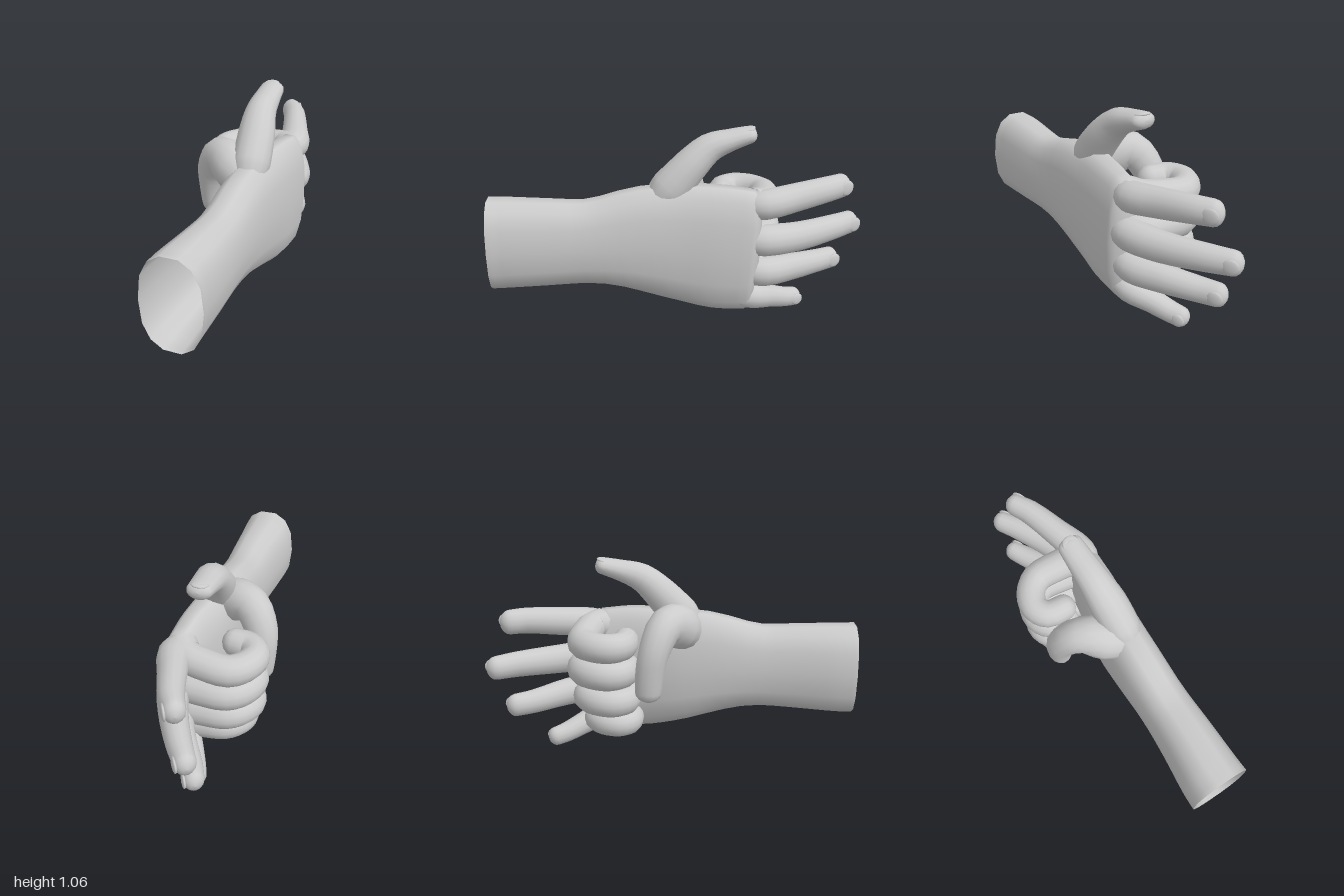
import * as THREE from 'three';

const skin = new THREE.MeshStandardMaterial({ color: 0xcccccc, side: THREE.DoubleSide });
const SIDES = 14;

// Tapered limb through stations [x, y, z, radius along ref, radius across], closed by a rounded tip
function limb(name, stations, ref, cap = 0.9, power = 2) {
  const path = new THREE.CatmullRomCurve3(stations.map(s => new THREE.Vector3(s[0], s[1], s[2])));
  const size = new THREE.CatmullRomCurve3(stations.map(s => new THREE.Vector3(s[3], s[4], 0)));
  const pos = [], index = [];
  const steps = (stations.length - 1) * 3, capSteps = 4;
  const round = v => Math.sign(v) * Math.abs(v) ** (2 / power);
  for (let i = 0; i <= steps + capSteps; i++) {
    const t = Math.min(i / steps, 1);
    const a = Math.max(0, i - steps) / capSteps * Math.PI / 2;
    const c = path.getPoint(t), r = size.getPoint(t), T = path.getTangent(t);
    const S = new THREE.Vector3().crossVectors(T, ref).normalize();
    const U = new THREE.Vector3().crossVectors(S, T);
    c.addScaledVector(T, Math.sin(a) * cap * Math.min(r.x, r.y));
    const k = Math.cos(a);
    for (let j = 0; j < SIDES; j++) {
      const q = j / SIDES * Math.PI * 2;
      const p = c.clone()
        .addScaledVector(S, round(Math.cos(q)) * r.y * k)
        .addScaledVector(U, round(Math.sin(q)) * r.x * k);
      pos.push(p.x, p.y, p.z);
      if (i < steps + capSteps) {
        const n = (j + 1) % SIDES, o = i * SIDES, u = o + SIDES;
        index.push(o + j, u + j, o + n, o + n, u + j, u + n);
      }
    }
  }
  const g = new THREE.BufferGeometry();
  g.setAttribute('position', new THREE.Float32BufferAttribute(pos, 3));
  g.setIndex(index);
  g.computeVertexNormals();
  const m = new THREE.Mesh(g, skin);
  m.name = name;
  return m;
}

// Flattened nail resting on a fingertip, facing along normal
function nail(name, at, normal, width) {
  const m = new THREE.Mesh(new THREE.SphereGeometry(1, 12, 8), skin);
  m.name = name;
  m.position.set(...at);
  m.lookAt(m.position.clone().add(normal));
  m.scale.set(width * 1.1, width, 0.012);
  return m;
}

export function createModel() {
  const hand = new THREE.Group();
  hand.name = 'hand';
  const X = new THREE.Vector3(1, 0, 0), Y = new THREE.Vector3(0, 1, 0), Z = new THREE.Vector3(0, 0, 1);

  // Open forearm flowing into the palm
  hand.add(limb('forearmAndPalm', [
    [0.07, 0.45, 1, 0.25, 0.16],
    [0.071, 0.45, 0.92, 0.248, 0.157],
    [0.085, 0.453, 0.7, 0.238, 0.142],
    [0.093, 0.455, 0.5, 0.23, 0.131],
    [0.1, 0.465, 0.22, 0.29, 0.131],
    [0.115, 0.447, 0, 0.33, 0.13],
    [0.15, 0.425, -0.2, 0.35, 0.114],
    [0.17, 0.415, -0.36, 0.34, 0.102],
  ], Y, 0.55, 2.4));

  // Straight fingers; each has a curled twin: curl = [reach, end height, set-back]
  const fingers = {
    index: { curl: [1, 0.64, 0], r: 0.081, path: [
      [0.165, 0.662, -0.37, 0.075, 0.075], [0.175, 0.672, -0.44, 0.08, 0.086], [0.13, 0.69, -0.6, 0.077, 0.073],
      [0.07, 0.71, -0.78, 0.07, 0.064], [0.027, 0.713, -0.86, 0.067, 0.056]] },
    middle: { curl: [1.03, 0.49, 0], r: 0.083, path: [
      [0.18, 0.475, -0.37, 0.08, 0.08], [0.185, 0.475, -0.44, 0.085, 0.088], [0.13, 0.47, -0.62, 0.08, 0.075],
      [0.02, 0.475, -0.84, 0.07, 0.064], [-0.04, 0.475, -0.935, 0.065, 0.056]] },
    ring: { curl: [0.98, 0.335, 0.015], r: 0.079, path: [
      [0.17, 0.295, -0.37, 0.078, 0.078], [0.17, 0.29, -0.44, 0.08, 0.084], [0.11, 0.282, -0.58, 0.076, 0.071],
      [0.005, 0.265, -0.75, 0.066, 0.062], [-0.043, 0.262, -0.84, 0.063, 0.054]] },
    pinky: { curl: [0.85, 0.2, 0.04], r: 0.071, path: [
      [0.16, 0.16, -0.31, 0.075, 0.075], [0.15, 0.137, -0.39, 0.07, 0.075], [0.09, 0.1, -0.49, 0.062, 0.062],
      [0.04, 0.066, -0.58, 0.056, 0.055], [0.012, 0.053, -0.635, 0.054, 0.048]] },
  };
  // Plan of a curled finger: [x, z]
  const curlPlan = [[0.165, -0.37], [0.12, -0.425], [0.02, -0.45], [-0.1, -0.455],
    [-0.175, -0.395], [-0.2, -0.31], [-0.16, -0.245], [-0.07, -0.23]];

  for (const [name, { curl: [reach, endY, setBack], r, path }] of Object.entries(fingers)) {
    hand.add(limb(name + 'FingerOpen', path, Y));

    // Nail on the back of the tip
    const [x, y, z, w, d] = path[4], prev = path[3];
    const along = new THREE.Vector3(x - prev[0], 0, z - prev[2]).normalize();
    const out = new THREE.Vector3(-along.z, 0, along.x);
    hand.add(nail(name + 'Nail', [x + out.x * d * 0.9, y, z + out.z * d * 0.9], out, w * 0.62));

    // Curled finger folding round towards the palm
    const bx = path[0][0], by = path[1][1], last = curlPlan.length - 1;
    hand.add(limb(name + 'FingerCurled', curlPlan.map(([cx, cz], i) => [
      bx + (cx - 0.165) * reach,
      THREE.MathUtils.lerp(by, endY, Math.min(1, i / 3)),
      -0.3 + (cz + 0.3) * reach + setBack,
      r * (1.04 - 0.12 * i / last),
      r * (1.08 - 0.22 * i / last),
    ]), Y));
  }

  // Raised thumb
  hand.add(limb('thumbRaised', [
    [0.1, 0.68, 0.11, 0.08, 0.08], [0.095, 0.745, 0.05, 0.1, 0.105], [0.085, 0.86, -0.05, 0.098, 0.092],
    [0.072, 0.95, -0.15, 0.083, 0.076], [0.068, 0.99, -0.26, 0.073, 0.056], [0.066, 1.015, -0.355, 0.066, 0.044],
  ], X));
  hand.add(nail('thumbNail', [0.066, 1.043, -0.345], new THREE.Vector3(0, 0.97, 0.24), 0.042));

  // Thumb folded down over the curled fingers
  hand.add(limb('thumbFolded', [
    [0.07, 0.65, 0.1, 0.09, 0.1], [0.0, 0.7, 0.05, 0.112, 0.12], [-0.1, 0.73, -0.02, 0.095, 0.1],
    [-0.17, 0.625, -0.075, 0.083, 0.087], [-0.188, 0.51, -0.1, 0.077, 0.072], [-0.188, 0.4, -0.11, 0.07, 0.062],
  ], Z));

  return hand;
}
